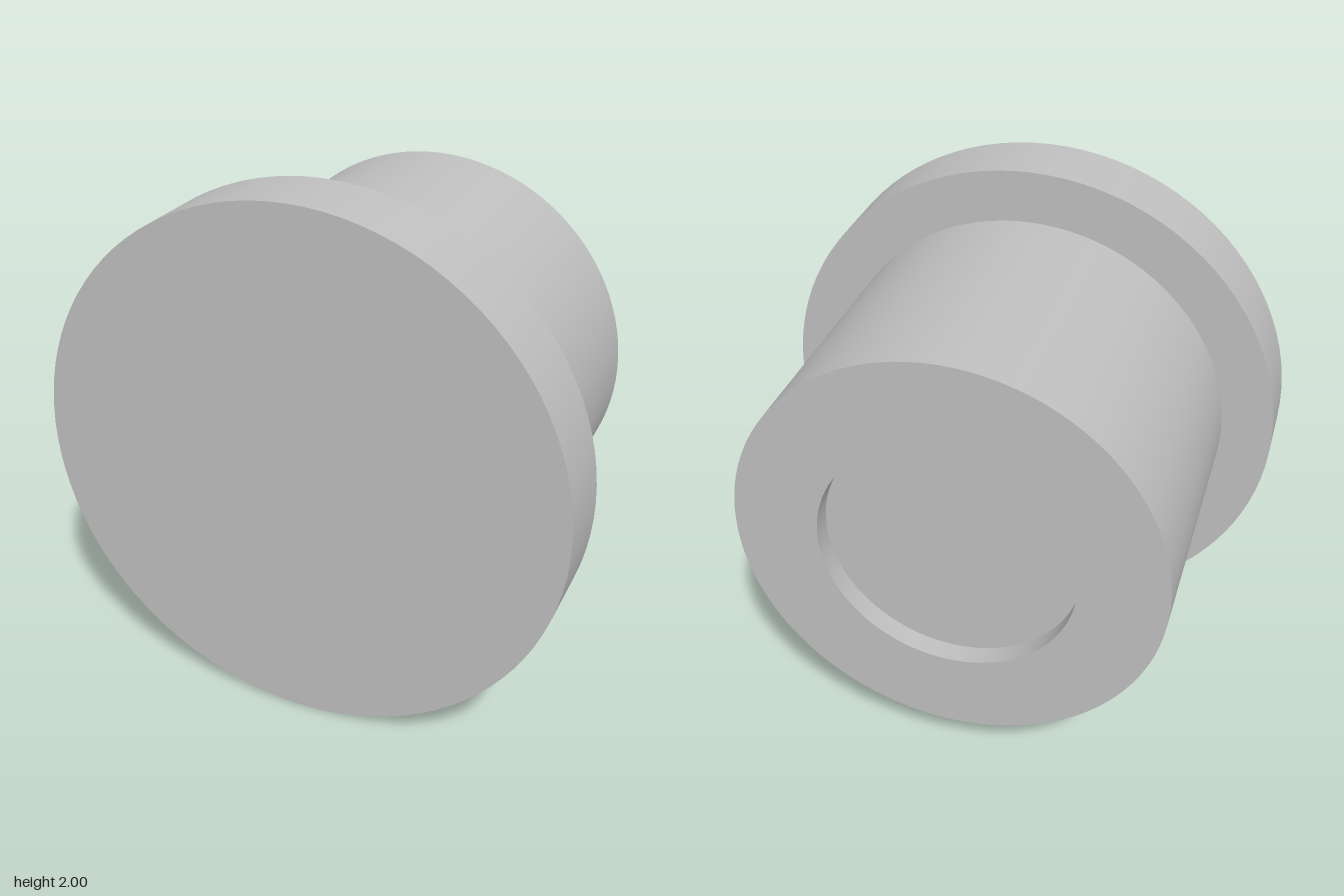
import * as THREE from 'three';

export function createModel() {
  const model = new THREE.Group();
  model.name = 'flangedPlug';
  const grey = new THREE.MeshStandardMaterial({ color: 0xbfbfbf });
  grey.name = 'grey';

  // Profile as [radius, z], from the recess centre around to the front centre
  const profile = [
    [0, -0.59], [0.48, -0.59], [0.48, -0.67], [0.8, -0.67],
    [0.8, 0.39], [1, 0.39], [1, 0.67], [0, 0.67],
  ];
  const names = ['recessFloor', 'recessWall', 'barrelRearFace', 'barrelWall',
    'flangeRearFace', 'flangeRim', 'flangeFrontFace'];

  // One turned surface per profile segment keeps the edges sharp
  names.forEach((name, i) => {
    const points = [profile[i], profile[i + 1]].map(([r, z]) => new THREE.Vector2(r, z));
    const geometry = new THREE.LatheGeometry(points, 96);
    geometry.rotateX(Math.PI / 2); // turn the axis to face +z
    geometry.translate(0, 1, 0);
    const mesh = new THREE.Mesh(geometry, grey);
    mesh.name = name;
    model.add(mesh);
  });

  return model;
}
